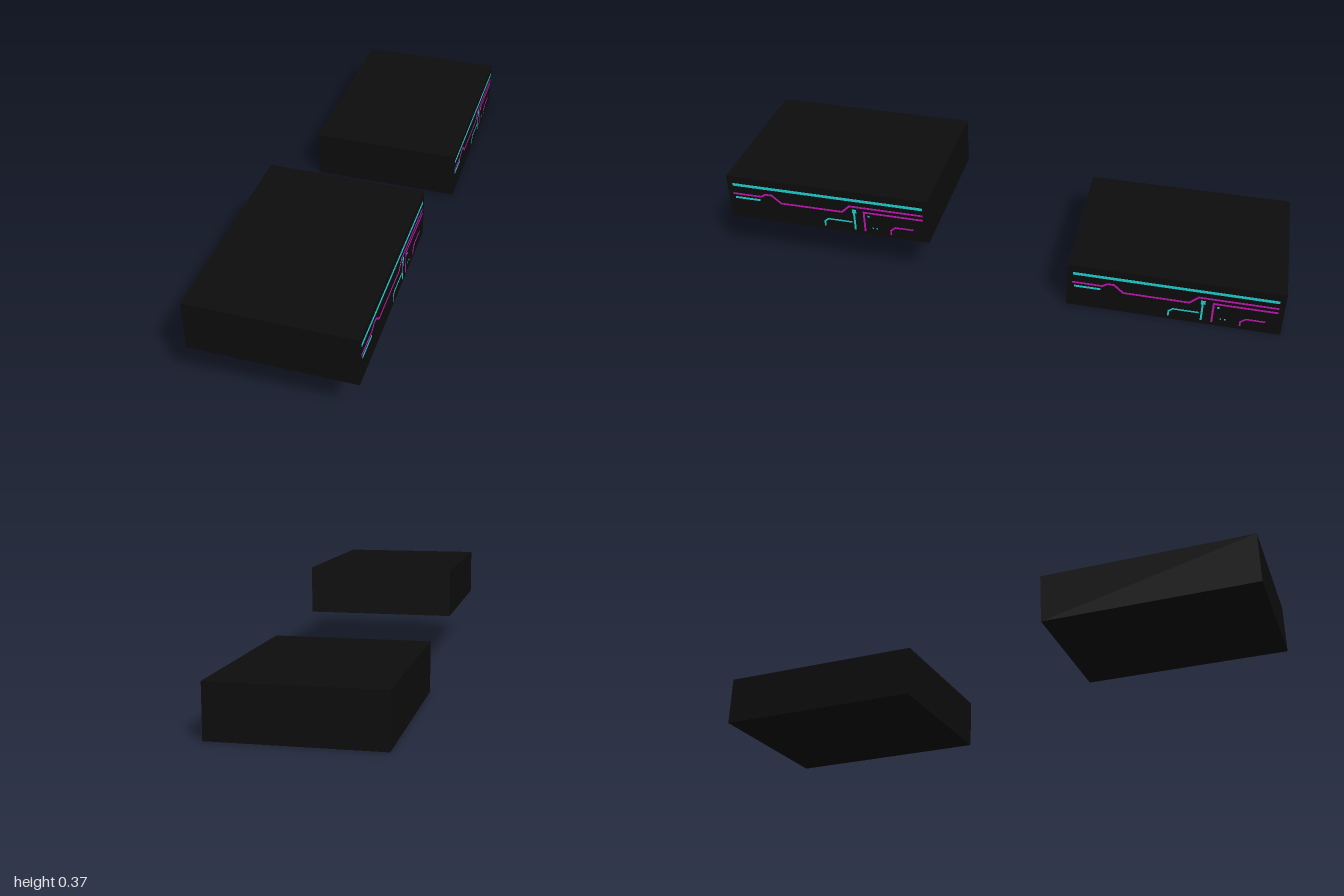
import * as THREE from 'three';

const WIDTH = 0.552, HEIGHT = 0.178, LENGTH = 0.75;

// Inlay lines on the +x side: u runs from the front edge to the back, v up from the base
const cyanLines = [
  { w: 0.011, pts: [[0.02, 0.143], [0.73, 0.143]] },
  { w: 0.008, pts: [[0.025, 0.088], [0.12, 0.088]] },
  { w: 0.006, pts: [[0.362, 0.015], [0.362, 0.035], [0.376, 0.047], [0.465, 0.047]] },
  { w: 0.007, pts: [[0.476, 0.015], [0.476, 0.095]] },
  { w: 0.016, pts: [[0.469, 0.095], [0.485, 0.095]] },
  { w: 0.007, pts: [[0.526, 0.081], [0.534, 0.081]] },
  { w: 0.005, pts: [[0.54, 0.032], [0.545, 0.032]] },
  { w: 0.005, pts: [[0.555, 0.032], [0.56, 0.032]] },
];
const magentaLines = [
  { w: 0.007, pts: [[0.02, 0.104], [0.125, 0.104], [0.143, 0.116], [0.166, 0.116], [0.2, 0.086],
    [0.43, 0.086], [0.46, 0.115], [0.73, 0.115]] },
  { w: 0.007, pts: [[0.513, 0.015], [0.513, 0.096], [0.73, 0.096]] },
  { w: 0.006, pts: [[0.61, 0.015], [0.61, 0.032], [0.627, 0.047], [0.692, 0.047]] },
];

// A flat strip for every segment of a polyline
function addInlay(group, lines, material, name) {
  const inlay = new THREE.Group();
  inlay.name = name;
  for (const { w, pts } of lines) {
    for (let i = 1; i < pts.length; i++) {
      const [u0, v0] = pts[i - 1], [u1, v1] = pts[i];
      const du = u1 - u0, dv = v1 - v0;
      const joint = pts.length > 2 ? w * 0.5 : 0;
      const strip = new THREE.Mesh(
        new THREE.BoxGeometry(0.002, w, Math.hypot(du, dv) + joint), material);
      strip.name = name + 'Strip';
      strip.position.set(WIDTH / 2, (v0 + v1) / 2, LENGTH / 2 - (u0 + u1) / 2);
      strip.rotation.x = Math.atan2(dv, du);
      inlay.add(strip);
    }
  }
  group.add(inlay);
}

export function createModel() {
  const model = new THREE.Group();
  model.name = 'platformPair';
  const black = new THREE.MeshStandardMaterial({ color: 0x0d0d0d });
  const cyan = new THREE.MeshStandardMaterial({ color: 0x1fd6d6 });
  const magenta = new THREE.MeshStandardMaterial({ color: 0xc814b8 });

  // Raised block in front, low block behind
  for (const [name, y, z] of [['frontBlock', 0.187, 0.625], ['backBlock', 0, -0.625]]) {
    const block = new THREE.Group();
    block.name = name;
    const body = new THREE.Mesh(new THREE.BoxGeometry(WIDTH, HEIGHT, LENGTH), black);
    body.name = 'body';
    body.position.y = HEIGHT / 2;
    block.add(body);
    addInlay(block, magentaLines, magenta, 'magentaInlay');
    addInlay(block, cyanLines, cyan, 'cyanInlay');
    block.position.set(0, y, z);
    model.add(block);
  }
  return model;
}
